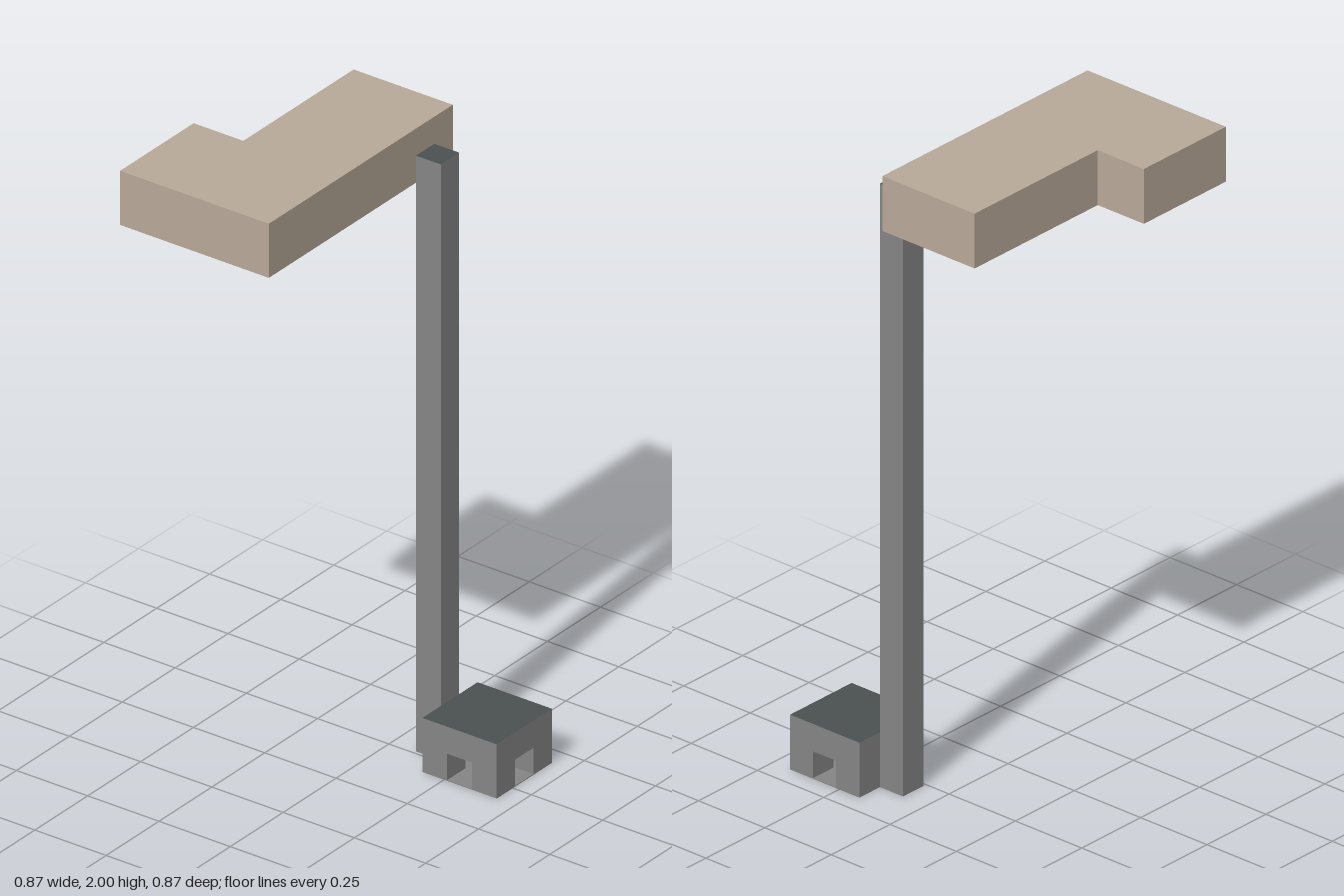
import * as THREE from 'three';

const U = 2 / 23; // one block

const mat = (name, color) => {
  const m = new THREE.MeshStandardMaterial({ color });
  m.name = name;
  return m;
};

export function createModel() {
  const model = new THREE.Group();
  const stone = mat('greyStone', 0x858585);
  const slate = mat('darkSlate', 0x4b5151);
  const tan = mat('tanPlank', 0xb8a998);
  const slateTop = [stone, stone, slate, stone, stone, stone];

  // Box given by its corners, in blocks
  const block = (name, material, [x0, y0, z0], [x1, y1, z1], parent) => {
    const mesh = new THREE.Mesh(
      new THREE.BoxGeometry((x1 - x0) * U, (y1 - y0) * U, (z1 - z0) * U), material);
    mesh.position.set((x0 + x1) / 2 * U, (y0 + y1) / 2 * U, (z0 + z1) / 2 * U);
    mesh.name = name;
    parent.add(mesh);
  };

  // L-shaped platform, two blocks thick
  const outline = [[-3, -5], [1, -5], [1, 5], [-5, 5], [-5, 1], [-3, 1]];
  const shape = new THREE.Shape(outline.map(([x, z]) => new THREE.Vector2(x * U, z * U)));
  const platform = new THREE.Mesh(
    new THREE.ExtrudeGeometry(shape, { depth: 2 * U, bevelEnabled: false }), tan);
  platform.rotation.x = Math.PI / 2;
  platform.position.y = 2;
  platform.name = 'platform';
  model.add(platform);

  // Tall column beside the platform
  block('column', slateTop, [1, 0, -4], [2, 22, -3], model);

  // Hut: roof slab on four corner pillars, with doorways between them
  const hut = new THREE.Group();
  hut.name = 'hut';
  block('hutRoof', slateTop, [2, 1, -5], [5, 2, -2], hut);
  for (const x of [2, 4])
    for (const z of [-5, -3])
      block('hutPillar', stone, [x, 0, z], [x + 1, 1, z + 1], hut);

  // Thin floor crossing the doorways
  block('hutFloor', stone, [3, 0, -5], [4, 0.03, -2], hut);
  for (const x of [2, 4]) block('hutFloor', stone, [x, 0, -4], [x + 1, 0.03, -3], hut);
  model.add(hut);

  return model;
}
